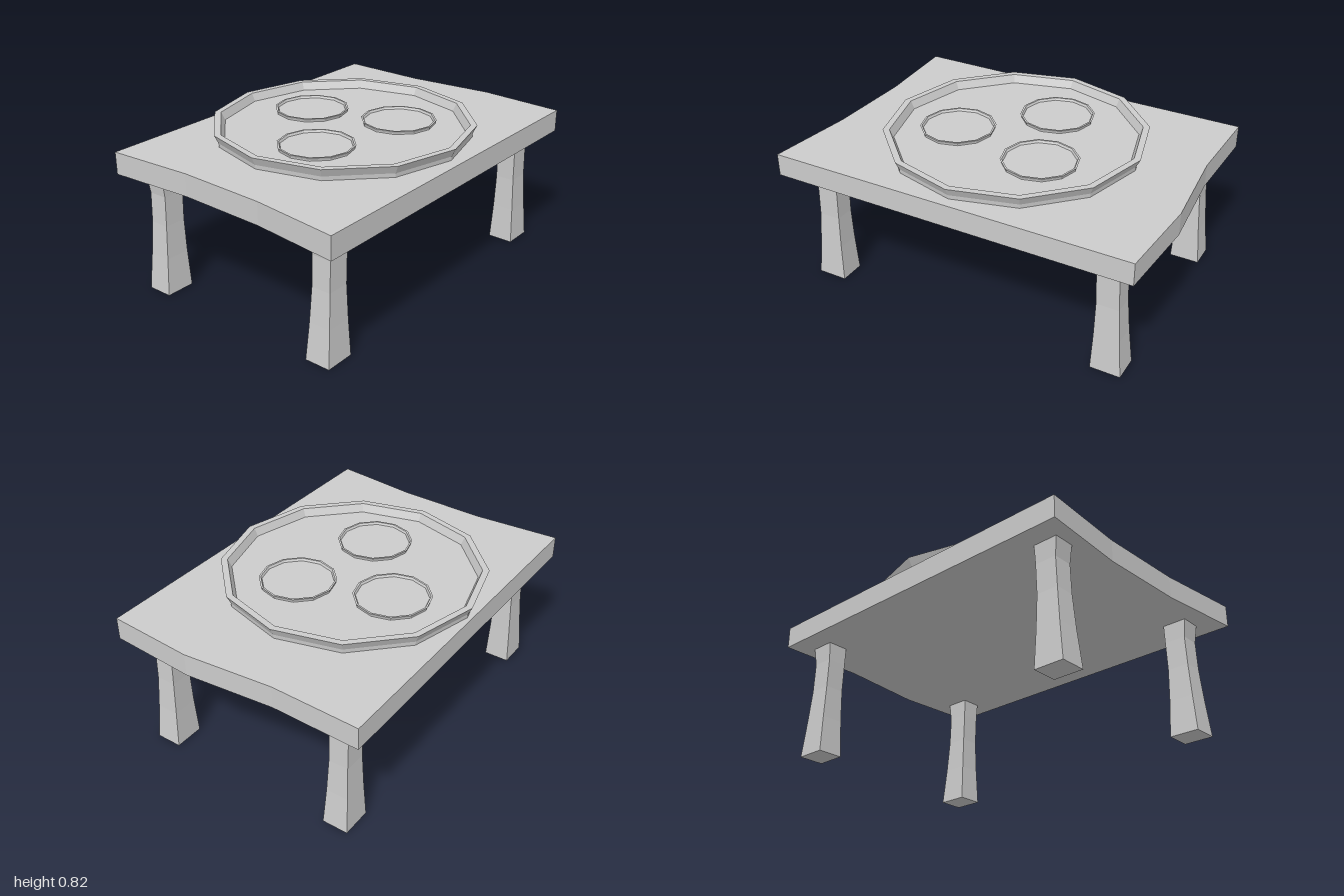
import * as THREE from 'three';

const material = new THREE.MeshStandardMaterial({ color: 0xcccccc, flatShading: true });

function addMesh(parent, name, geometry) {
  const mesh = new THREE.Mesh(geometry, material);
  mesh.name = name;
  parent.add(mesh);
  return mesh;
}

// Slab with wavy, rough-sawn ends
function slabGeometry() {
  const outline = [
    [-0.96, -0.715], [0.965, -0.715], [0.955, -0.24], [1, 0.24],
    [0.97, 0.71], [-1, 0.71], [-0.945, 0.24], [-0.93, -0.24],
  ].map(([x, z]) => new THREE.Vector2(x, z));
  return new THREE.ExtrudeGeometry(new THREE.Shape(outline), { depth: 0.12, bevelEnabled: false })
    .rotateX(Math.PI / 2)
    .translate(0, 0.76, 0);
}

// Twelve-sided dish with a flared rim and a sunken floor
function dishGeometry() {
  const profile = [
    [0, 0], [0.672, 0], [0.674, 0.022], [0.695, 0.065],
    [0.66, 0.065], [0.64, 0.022], [0, 0.022],
  ].map(([r, y]) => new THREE.Vector2(r, y));
  return new THREE.LatheGeometry(profile, 12);
}

// Leg sections: height, inner x, outer x, inner z, outer z
const LEG = [
  [0, 0.738, 0.9, 0.468, 0.608],
  [0.2, 0.745, 0.88, 0.478, 0.598],
  [0.38, 0.747, 0.866, 0.484, 0.59],
  [0.54, 0.742, 0.86, 0.484, 0.59],
  [0.64, 0.74, 0.873, 0.482, 0.597],
];

// Box whose rings of corners follow the leg sections
function legGeometry(sx, sz) {
  const rows = LEG.length - 1;
  const geometry = new THREE.BoxGeometry(1, rows, 1, 1, rows, 1);
  const p = geometry.attributes.position;
  for (let i = 0; i < p.count; i++) {
    const [y, xIn, xOut, zIn, zOut] = LEG[Math.round(p.getY(i) + rows / 2)];
    const x = p.getX(i) * sx > 0 ? xOut : xIn;
    const z = p.getZ(i) * sz > 0 ? zOut : zIn;
    p.setXYZ(i, sx * x, y, sz * z);
  }
  geometry.computeVertexNormals();
  return geometry;
}

export function createModel() {
  const model = new THREE.Group();
  model.name = 'tableWithPlates';

  addMesh(model, 'tableTop', slabGeometry());

  for (const [sx, side] of [[1, 'Left'], [-1, 'Right']])
    for (const [sz, end] of [[1, 'front'], [-1, 'back']])
      addMesh(model, `${end}${side}Leg`, legGeometry(sx, sz));

  // Large platter on the table
  const dish = dishGeometry();
  addMesh(model, 'platter', dish).position.set(-0.01, 0.76, -0.02);

  // Three small plates resting on the platter
  [[0.08, -0.315], [-0.32, 0.055], [0.225, 0.165]].forEach(([x, z], i) => {
    const plate = addMesh(model, `smallPlate${i + 1}`, dish);
    plate.scale.setScalar(0.29);
    plate.position.set(x, 0.782, z);
  });

  return model;
}
